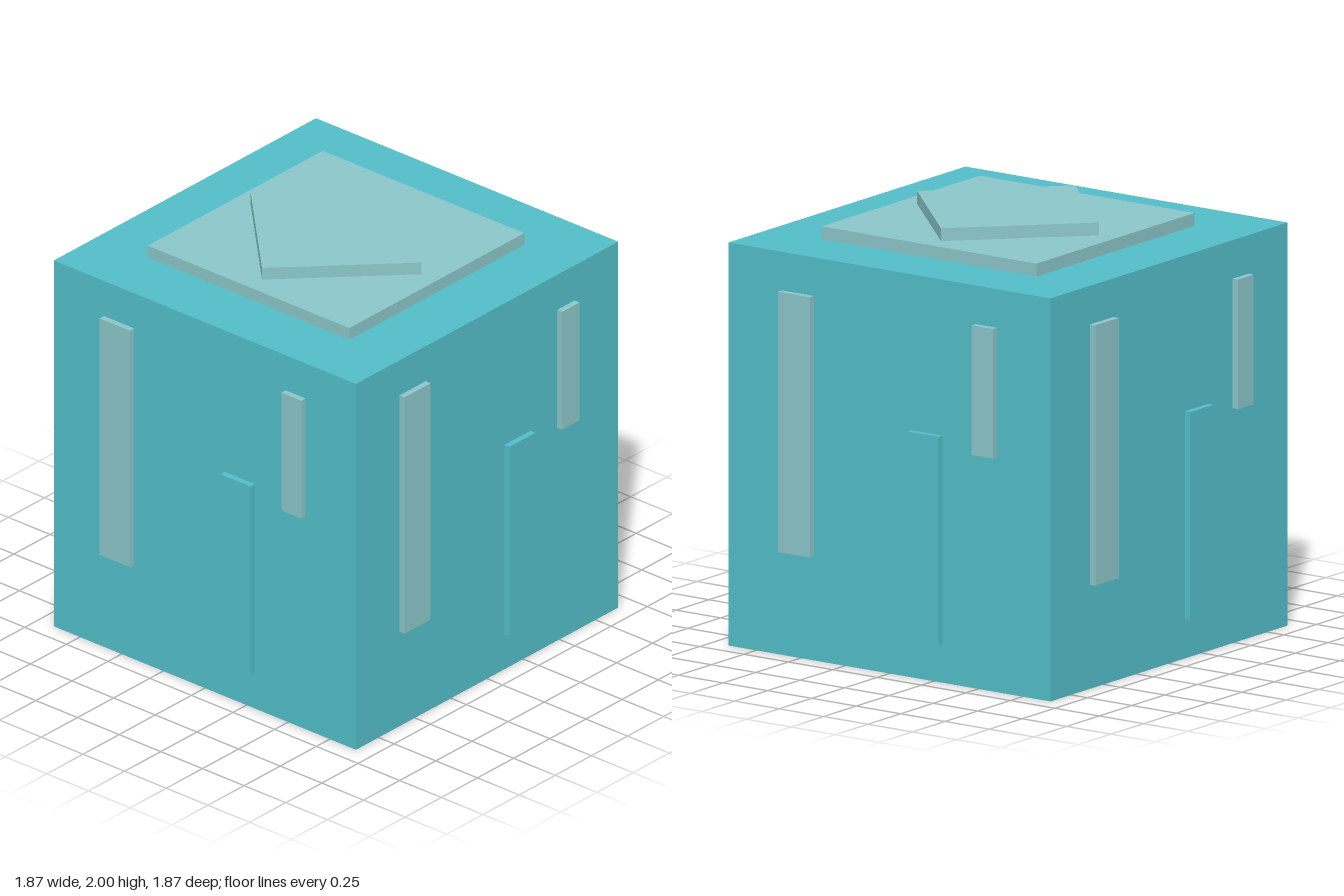
import * as THREE from 'three';

const bodyColor = new THREE.MeshStandardMaterial({ color: 0x52bdc7 });
bodyColor.name = 'turquoise';
const trimColor = new THREE.MeshStandardMaterial({ color: 0x8bc5c9 });
trimColor.name = 'paleTeal';

const HALF = 0.907;   // half width of the cube
const HEIGHT = 1.88;  // height of the cube
const RELIEF = 0.03;  // how far the wall strips stand out

// Box given by its ranges along each axis
function block(name, material, [x0, x1], [y0, y1], [z0, z1]) {
  const mesh = new THREE.Mesh(new THREE.BoxGeometry(x1 - x0, y1 - y0, z1 - z0), material);
  mesh.position.set((x0 + x1) / 2, (y0 + y1) / 2, (z0 + z1) / 2);
  mesh.name = name;
  return mesh;
}

// The three raised strips of one wall, facing +z
function wallStrips() {
  const wall = new THREE.Group();
  const depth = [HALF, HALF + RELIEF];
  wall.add(
    block('tallStrip', trimColor, [-0.605, -0.425], [0.485, 1.7], depth),
    block('shortStrip', trimColor, [0.485, 0.605], [1.095, 1.7], depth),
    block('lowStrip', bodyColor, [0.12, 0.3], [0.182, 1.153], depth),
  );
  return wall;
}

export function createModel() {
  const model = new THREE.Group();
  model.name = 'paneledCube';

  // Main cube
  model.add(block('body', bodyColor, [-HALF, HALF], [0, HEIGHT], [-HALF, HALF]));

  // Square plate on top with a smaller plate turned by 45 degrees
  model.add(block('topPlate', trimColor, [-0.605, 0.605], [HEIGHT, 1.94], [-0.605, 0.605]));
  const side = 0.512 / Math.SQRT2;
  const diamond = block('topDiamond', trimColor, [-side, side], [1.94, 2], [-side, side]);
  diamond.rotation.y = Math.PI / 4;
  model.add(diamond);

  // Same strips on all four walls
  ['front', 'left', 'back', 'right'].forEach((wallName, i) => {
    const wall = wallStrips();
    wall.name = wallName + 'Strips';
    wall.rotation.y = (i * Math.PI) / 2;
    model.add(wall);
  });

  return model;
}
